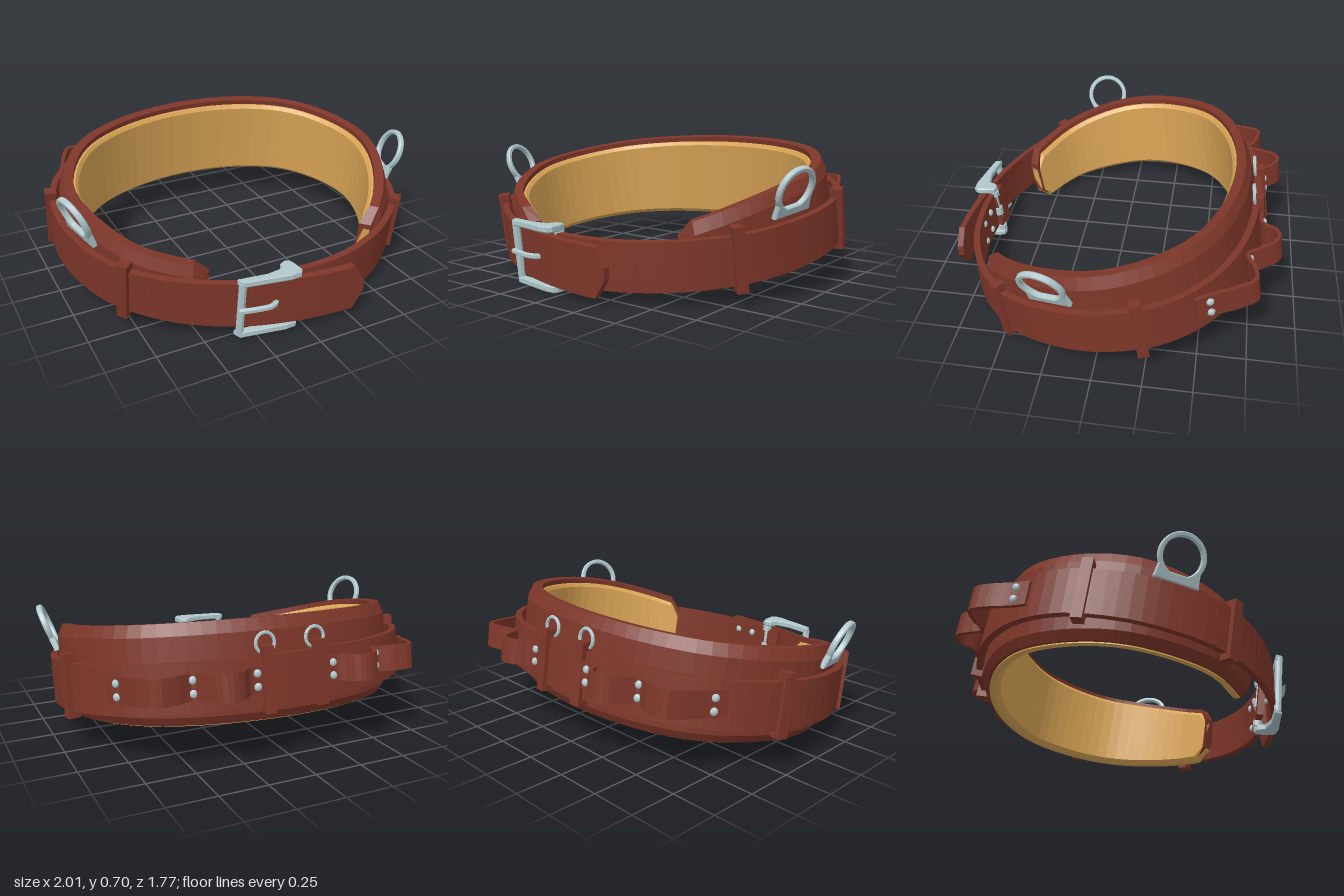
import * as THREE from 'three';

const mat = color => new THREE.MeshStandardMaterial({ color, flatShading: true });
const leather = mat(0x7d3629), lining = mat(0xdba656), metal = mat(0xb0c8cc);

// Plan curve: points are [x, z], running right end -> back -> left end
const plan = pts => new THREE.CatmullRomCurve3(pts.map(([x, z]) => new THREE.Vector3(x, 0, z)));
const flip = pts => pts.map(([x, z]) => [-x, z]).reverse();

function outward(curve, u) {
  const t = curve.getTangentAt(u);
  return new THREE.Vector3(t.z, 0, -t.x).normalize();
}

// Sweep a closed section of [outward, height] points along a plan curve
function sweep(name, material, curve, n, section) {
  const pos = [], idx = [];
  let m = 0;
  for (let i = 0; i <= n; i++) {
    const p = curve.getPointAt(i / n), o = outward(curve, i / n);
    const ring = section(i, p.z);
    m = ring.length;
    for (const [d, v] of ring) pos.push(p.x + o.x * d, v, p.z + o.z * d);
  }
  for (let i = 0; i < n; i++) for (let j = 0; j < m; j++) {
    const a = i * m + j, b = i * m + (j + 1) % m;
    idx.push(a, b, a + m, b, b + m, a + m);
  }
  for (let j = 1; j < m - 1; j++) {
    idx.push(0, j + 1, j);
    idx.push(n * m, n * m + j, n * m + j + 1);
  }
  const g = new THREE.BufferGeometry();
  g.setAttribute('position', new THREE.Float32BufferAttribute(pos, 3));
  g.setIndex(idx);
  g.computeVertexNormals();
  const mesh = new THREE.Mesh(g, material);
  mesh.name = name;
  return mesh;
}

const band = (t, h) => [[-t, -h], [t, -h], [t, h], [-t, h]];

// Nearest place on a curve, with the yaw that faces outward
function nearest(curve, x, z) {
  let best = 0, dist = Infinity;
  for (let i = 0; i <= 600; i++) {
    const p = curve.getPointAt(i / 600), d = Math.hypot(p.x - x, p.z - z);
    if (d < dist) { dist = d; best = i / 600; }
  }
  const o = outward(curve, best);
  return { p: curve.getPointAt(best), o, yaw: Math.atan2(o.x, o.z) };
}

function part(parent, name, geometry, material, x = 0, y = 0, z = 0, yaw = 0) {
  const mesh = new THREE.Mesh(geometry, material);
  mesh.name = name;
  mesh.position.set(x, y, z);
  mesh.rotation.y = yaw;
  parent.add(mesh);
  return mesh;
}

function rivet(parent, x, y, z, yaw) {
  part(parent, 'rivet', new THREE.SphereGeometry(0.02, 8, 6), metal, x, y, z, yaw).scale.z = 0.7;
}

// Flat D shaped ring with a straight foot
function dRing() {
  const s = new THREE.Shape();
  s.moveTo(-0.115, -0.13);
  s.lineTo(0.115, -0.13);
  s.lineTo(0.105, -0.06);
  s.absarc(0, 0, 0.121, -0.52, Math.PI + 0.52, false);
  s.closePath();
  const hole = new THREE.Path();
  hole.absarc(0, 0, 0.096, -1.1, Math.PI + 1.1, false);
  hole.closePath();
  s.holes.push(hole);
  const g = new THREE.ExtrudeGeometry(s, {
    depth: 0.018, curveSegments: 14, bevelSize: 0.005, bevelThickness: 0.006, bevelSegments: 1, bevelOffset: -0.005,
  });
  return g.translate(0, 0, -0.009);
}

// Upright buckle; the arms are level and the bars lean a little forward
function buckle() {
  const g = new THREE.Group();
  g.name = 'buckle';
  const s = new THREE.Shape([[-0.35, 0.78], [-0.335, 0.82], [-0.1, 0.86], [-0.045, 0.857], [-0.03, 0.835],
    [-0.035, 0.77], [-0.045, 0.74], [-0.07, 0.73], [-0.1, 0.745], [-0.115, 0.785], [-0.2, 0.798]]
    .map(([x, z]) => new THREE.Vector2(x, -z)));
  const arm = new THREE.ExtrudeGeometry(s, {
    depth: 0.022, bevelSize: 0.005, bevelThickness: 0.006, bevelSegments: 1, bevelOffset: -0.005,
  }).rotateX(-Math.PI / 2).translate(0, -0.011, 0);
  const lean = 0.11;
  for (const y of [-0.153, 0.153]) part(g, 'buckleArm', arm, metal, 0, y, y * lean);
  const upright = (name, r, h, x, y, z) =>
    part(g, name, new THREE.CylinderGeometry(r, r, h, 8), metal, x, y, z + y * lean).rotation.x = lean;
  upright('buckleBar', 0.02, 0.31, -0.33, 0, 0.8);
  upright('hingeRod', 0.014, 0.31, -0.07, 0, 0.752);
  for (const y of [-0.12, 0, 0.12]) upright('hingeCollar', 0.026, y ? 0.03 : 0.05, -0.07, y, 0.752);
  const prong = new THREE.CatmullRomCurve3([[-0.07, 0.75], [-0.13, 0.80], [-0.18, 0.845], [-0.27, 0.838], [-0.35, 0.818]]
    .map(([x, z]) => new THREE.Vector3(x, 0, z)));
  part(g, 'prong', new THREE.TubeGeometry(prong, 12, 0.015, 6), metal);
  return g;
}

export function createModel() {
  const model = new THREE.Group();
  const belt = new THREE.Group();
  belt.name = 'belt';
  belt.rotation.x = 0.155;
  belt.position.y = 0.30;
  model.add(belt);

  // Outer strap: pointed tip overlaps the buckle end; the front stands upright
  const side = [[-0.62, 0.62], [-0.83, 0.41], [-0.94, 0.12], [-0.955, -0.1], [-0.905, -0.33],
    [-0.765, -0.53], [-0.55, -0.675], [-0.3, -0.75]];
  const strapCurve = plan([[0.325, 0.87], [0.1, 0.86], [-0.08, 0.835], [-0.34, 0.766], ...side, [0, -0.78],
    ...flip(side), [0.35, 0.75], [0.12, 0.79], [-0.06, 0.788]]);
  belt.add(sweep('strap', leather, strapCurve, 100, (i, z) => {
    const lean = 0.155 * THREE.MathUtils.clamp((z - 0.5) / 0.3, 0, 1);
    return band(0.017, i === 0 ? 0.03 : 0.12).map(([d, v]) => [d - v * lean, v]);
  }));

  // Padded back support, shorter than the strap, tapered at both ends and rolled slightly
  const pad = new THREE.Group();
  pad.name = 'backPad';
  pad.rotation.z = 0.018;
  belt.add(pad);
  const padSide = [[-0.70, 0.43], [-0.83, 0.2], [-0.875, -0.03], [-0.82, -0.26], [-0.66, -0.49], [-0.39, -0.635]];
  const padCurve = plan([[-0.42, 0.62], ...padSide, [0, -0.695], ...flip(padSide), [0.545, 0.59]]);
  const N = 60;
  const isEnd = i => i === 0 || i === N;
  const range = (i, z) => {
    const k = isEnd(i) ? 0.6 : 1;
    return [(-0.19 + 0.03 * z) * k, (0.27 - 0.03 * z - 0.25 * Math.max(0, z) ** 2) * k];
  };
  pad.add(sweep('padCover', leather, padCurve, N, (i, z) => {
    const [b, t] = range(i, z);
    const inner = isEnd(i) ? -0.052 : -0.02, w = isEnd(i) ? 0.4 : 1;
    return [[inner, b + 0.008], [0.025 * w, b + 0.006], [0.055 * w, b + 0.05], [0.062 * w, 0],
      [0.055 * w, t - 0.06], [0.03 * w, t], [inner, t - 0.003]];
  }));
  pad.add(sweep('padLining', lining, padCurve, N, (i, z) => {
    const [b, t] = range(i, z);
    return [[-0.045, b + 0.025], [-0.02, b], [0.01, b], [0.01, t - 0.03], [-0.03, t - 0.03], [-0.045, t - 0.05]];
  }));

  // Keeper loops round the strap: four at the sides, two at the back
  const keeper = new THREE.BoxGeometry(0.056, 0.32, 0.06);
  for (const sx of [-1, 1]) {
    for (const [x, z] of [[0.79, 0.48], [0.94, -0.23], [0.135, -0.77]]) {
      const f = nearest(strapCurve, sx * x, z);
      part(belt, 'keeperLoop', keeper, leather, f.p.x + f.o.x * 0.01, 0.005, f.p.z + f.o.z * 0.01, f.yaw);
    }
    // Small ring held above each back keeper
    part(belt, 'smallRing', new THREE.TorusGeometry(0.05, 0.009, 6, 16), metal, sx * 0.135, 0.175, -0.765);

    // Large side ring, leaning outward
    const ring = part(belt, 'sideRing', dRing(), metal, sx * 0.942, 0.27, 0.19, sx * 1.3);
    ring.rotation.order = 'YXZ';
    ring.rotation.x = 0.34;
  }

  // Wavy tool holders riveted to the back of the strap
  const wave = [[-0.83, -0.49], [-0.79, -0.57], [-0.738, -0.70], [-0.69, -0.772], [-0.6, -0.765], [-0.5, -0.73],
    [-0.46, -0.79], [-0.41, -0.865], [-0.36, -0.885], [-0.31, -0.87], [-0.25, -0.80], [-0.16, -0.798]];
  for (const pts of [wave, flip(wave)]) {
    const curve = plan(pts);
    belt.add(sweep('toolHolder', leather, curve, 40, () => band(0.01, 0.065).map(([d, v]) => [d, v + 0.012])));
    const sx = Math.sign(pts[0][0]);
    for (const [x, z] of [[0.795, -0.55], [0.5, -0.73], [0.205, -0.798]]) {
      const f = nearest(curve, sx * x, z);
      for (const v of [-0.02, 0.044]) {
        rivet(belt, f.p.x + f.o.x * 0.014, v, f.p.z + f.o.z * 0.014, f.yaw);
      }
    }
  }

  // Folded strap end round the buckle rod, with its rivets
  part(belt, 'strapFold', new THREE.BoxGeometry(0.11, 0.22, 0.035), leather, -0.11, 0, 0.765, -0.1);
  for (const x of [0.05, 0.16]) for (const v of [-0.06, 0.06]) {
    rivet(belt, x, v, 0.77 - v * 0.155, 0);
  }
  const clasp = buckle();
  clasp.position.y = 0.175;
  model.add(clasp);
  return model;
}
